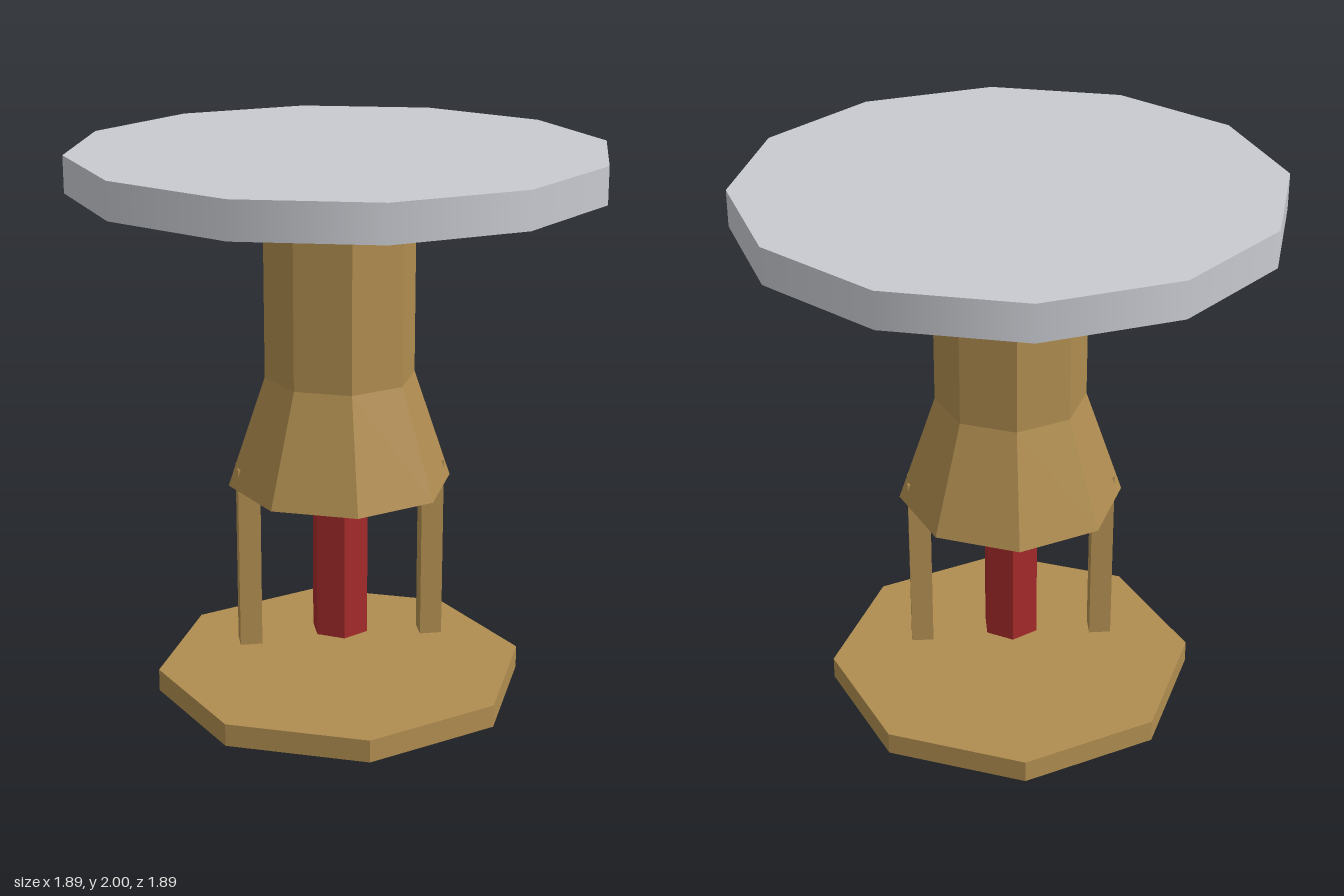
import * as THREE from 'three';

const bronze = new THREE.MeshStandardMaterial({ color: 0xb08d50, flatShading: true });
const red = new THREE.MeshStandardMaterial({ color: 0xa52a2a, flatShading: true });
const silver = new THREE.MeshStandardMaterial({ color: 0xc8cad0 });

export function createModel() {
  const model = new THREE.Group();
  model.name = 'pedestalTable';

  const add = (name, geometry, material, x = 0) => {
    const mesh = new THREE.Mesh(geometry, material);
    mesh.name = name;
    mesh.position.x = x;
    model.add(mesh);
  };

  // Upright prism or frustum between two heights
  const prism = (rTop, rBottom, y0, y1, sides) =>
    new THREE.CylinderGeometry(rTop, rBottom, y1 - y0, sides).translate(0, (y0 + y1) / 2, 0);

  // Twelve-sided top with a smooth rim
  add('topDisc', prism(0.945, 0.945, 1.87, 2, 12), silver);

  // Octagonal column flaring into a skirt, closed underneath
  const profile = [[0, 0.79], [0.405, 0.79], [0.27, 1.19], [0.27, 1.87], [0, 1.87]];
  add('column', new THREE.LatheGeometry(profile.map(([r, y]) => new THREE.Vector2(r, y)), 8), bronze);

  // Posts hang from the skirt, their upper corners just breaking through it
  for (const [name, x] of [['leftPost', 0.335], ['rightPost', -0.335]]) {
    add(name, new THREE.BoxGeometry(0.08, 0.68, 0.08).translate(0, 0.52, 0), bronze, x);
  }

  // Floating hexagonal core
  add('core', prism(0.107, 0.107, 0.21, 0.685, 6), red);

  // Octagonal foot
  add('base', prism(0.675, 0.675, 0, 0.083, 8), bronze);

  return model;
}
